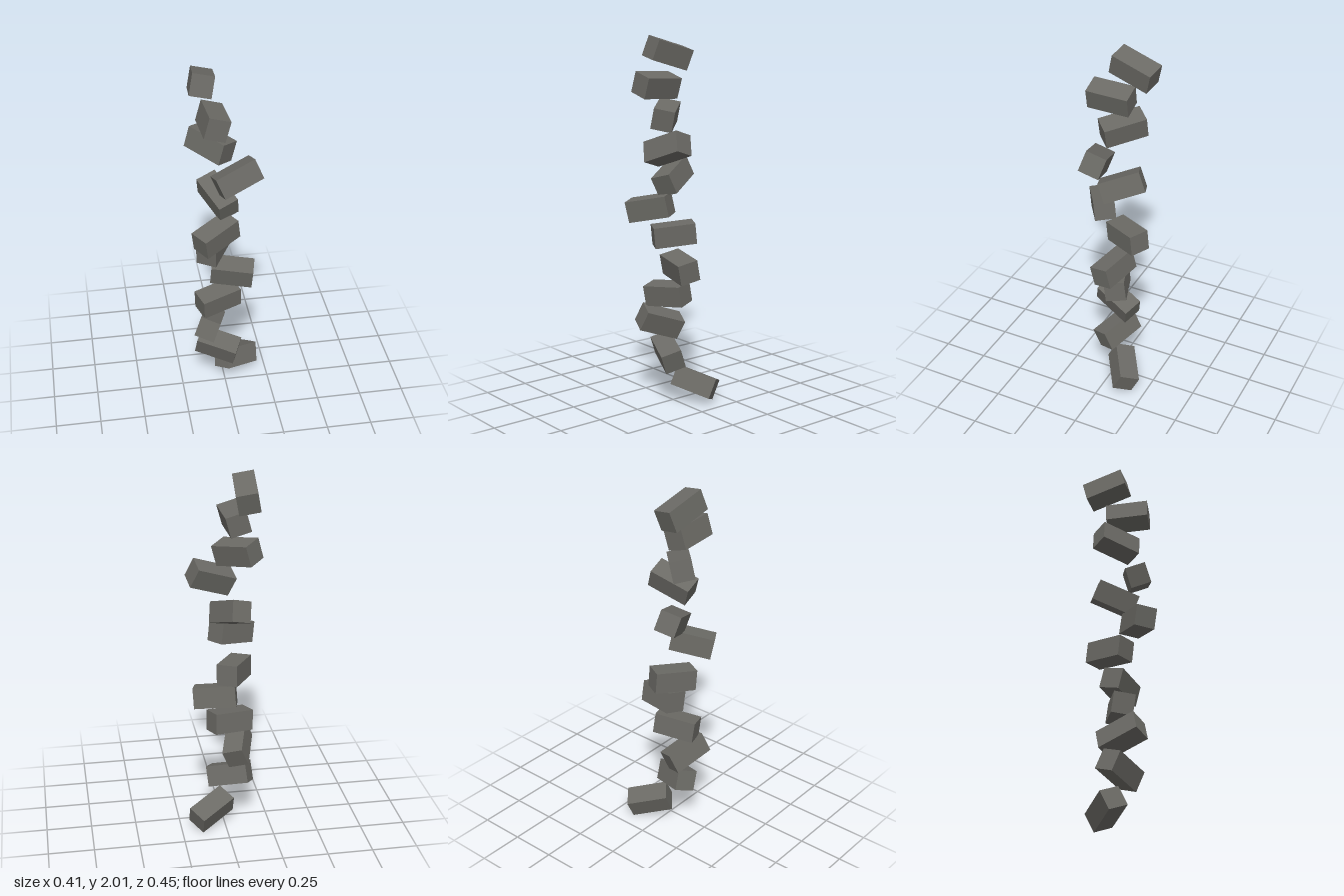
import * as THREE from 'three';

// Each block: centre, direction of its long axis, direction of one short axis
const BLOCKS = [
  [[0.077, 0.099, -0.095], [0.187, -0.062, -0.12], [0.068, 0.04, 0.084]],
  [[-0.042, 0.265, 0.003], [0.207, -0.053, 0.085], [-0.048, -0.035, 0.097]],
  [[-0.09, 0.437, 0.021], [-0.06, 0.075, 0.208], [0.1, -0.032, 0.04]],
  [[-0.042, 0.601, 0.005], [0.214, 0.022, -0.075], [0.036, -0.015, 0.107]],
  [[0.042, 0.763, -0.013], [0.22, -0.02, 0.05], [-0.023, -0.025, 0.11]],
  [[-0.056, 0.927, -0.05], [-0.112, -0.022, 0.198], [0.1, -0.005, 0.055]],
  [[-0.066, 1.092, 0.106], [0.19, 0.045, -0.12], [0.064, -0.01, 0.106]],
  [[-0.037, 1.253, -0.027], [0.095, -0.077, 0.2], [0.104, 0.03, -0.038]],
  [[0.05, 1.42, 0.08], [0.206, 0.075, -0.053], [0.011, 0.035, 0.112]],
  [[-0.077, 1.582, -0.011], [-0.154, 0.037, -0.164], [0.07, -0.02, -0.07]],
  [[-0.071, 1.746, 0.055], [0.011, 0.011, 0.232], [0.111, -0.032, -0.004]],
  [[-0.116, 1.91, -0.058], [-0.018, 0.064, 0.22], [0.107, -0.02, 0.0125]],
];

export function createModel() {
  const group = new THREE.Group();
  group.name = 'blockColumn';
  const stone = new THREE.MeshStandardMaterial({ color: 0x6b6a65 });
  stone.name = 'warm grey stone';
  const geometry = new THREE.BoxGeometry(0.115, 0.115, 0.231);

  // Twisted column of identical tumbled blocks, from the bottom up
  BLOCKS.forEach(([centre, long, side], i) => {
    const z = new THREE.Vector3(...long).normalize();
    const x = new THREE.Vector3(...side);
    x.addScaledVector(z, -x.dot(z)).normalize();
    const y = new THREE.Vector3().crossVectors(z, x);
    const block = new THREE.Mesh(geometry, stone);
    block.name = `block${i + 1}`;
    block.quaternion.setFromRotationMatrix(new THREE.Matrix4().makeBasis(x, y, z));
    block.position.set(...centre);
    group.add(block);
  });
  return group;
}
